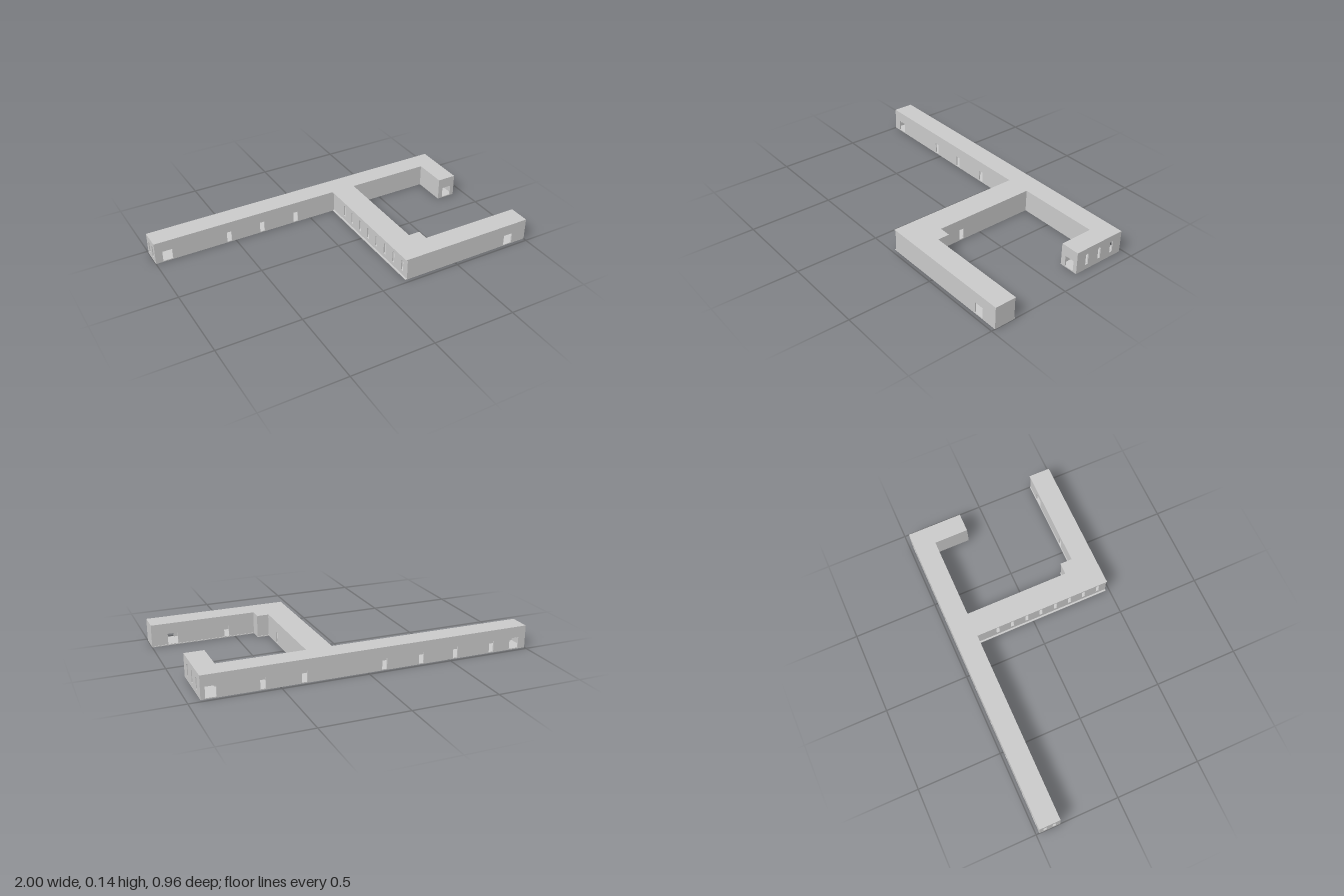
import * as THREE from 'three';

const H = 0.135, SLAB = 0.005, T = 0.008;
const material = new THREE.MeshStandardMaterial({ color: 0xcccccc, side: THREE.DoubleSide });

// Openings: { at: centre along the wall, w: width, y0, y1, arch }
const door = (at) => ({ at, w: 0.03, y0: SLAB, y1: 0.07 });
const gate = (at) => ({ at, w: 0.06, y0: SLAB, y1: 0.07 });
const archWindow = (at) => ({ at, w: 0.02, y0: 0.03, y1: 0.1, arch: true });

function openingPath({ at, w, y0, y1, arch }) {
  const r = w / 2, p = new THREE.Path();
  p.moveTo(at - r, y0);
  p.lineTo(at + r, y0);
  if (arch) {
    p.lineTo(at + r, y1 - r);
    p.absarc(at, y1 - r, r, 0, Math.PI, false);
  } else {
    p.lineTo(at + r, y1);
    p.lineTo(at - r, y1);
  }
  p.closePath();
  return p;
}

function wallGeometry(a, b, openings) {
  const s = new THREE.Shape();
  const base = SLAB - 0.001;
  s.moveTo(a, base);
  s.lineTo(b, base);
  s.lineTo(b, H - SLAB);
  s.lineTo(a, H - SLAB);
  s.closePath();
  s.holes = openings.map((o) => openingPath({ ...o, y0: Math.max(o.y0, base + 0.002) }));
  return new THREE.ExtrudeGeometry(s, { depth: T, bevelEnabled: false, curveSegments: 8 });
}

export function createModel() {
  const group = new THREE.Group();
  const add = (name, geometry) => {
    const mesh = new THREE.Mesh(geometry, material);
    mesh.name = name;
    group.add(mesh);
    return mesh;
  };

  // Wall running along x; its outer face lies at z and looks towards out (+1 / -1)
  const wallX = (name, x0, x1, z, out, openings = []) => {
    add(name, wallGeometry(x0, x1, openings)).position.z = out > 0 ? z - T : z;
  };
  // Wall running along z; its outer face lies at x
  const wallZ = (name, z0, z1, x, out, openings = []) => {
    const g = wallGeometry(z0, z1, openings).rotateY(-Math.PI / 2);
    add(name, g).position.x = out > 0 ? x : x + T;
  };

  // Floor and roof slabs share the corridor plan
  const plan = [
    [-1, -0.48], [0.93, -0.48], [0.93, -0.148], [0.815, -0.148], [0.815, -0.354],
    [0.31, -0.354], [0.31, 0.275], [0.38, 0.275], [0.38, 0.348], [1, 0.348],
    [1, 0.478], [0.16, 0.478], [0.16, -0.354], [-1, -0.354],
  ];
  const planShape = new THREE.Shape(plan.map(([x, z]) => new THREE.Vector2(x, -z)));
  const slab = () => new THREE.ExtrudeGeometry(planShape, { depth: SLAB, bevelEnabled: false })
    .rotateX(-Math.PI / 2);
  add('floor', slab());
  add('roof', slab()).position.y = H - SLAB;

  // Evenly spaced arched windows
  const windowRow = (first, count) =>
    Array.from({ length: count }, (_, i) => archWindow(first + i * 0.0925));

  // Long back wing
  wallX('backWall', -1, 0.93, -0.48, -1, [
    ...[-0.925, 0.875].map(gate),
    ...[-0.775, -0.54, -0.325, -0.1, 0.366, 0.597].map(door),
  ]);
  wallX('backWingFrontWall', -1, 0.17, -0.354, 1,
    [gate(-0.925), ...[-0.54, -0.325, -0.1].map(door)]);
  wallX('courtyardBackWall', 0.31, 0.815, -0.354, 1);
  wallZ('backWingEndWall', -0.48, -0.354, -1, -1, [-0.445, -0.39].map(archWindow));

  // Short hook
  wallZ('hookOuterWall', -0.48, -0.148, 0.93, 1, windowRow(-0.408, 3));
  wallZ('hookInnerWall', -0.354, -0.148, 0.815, -1);
  wallX('hookEndWall', 0.815, 0.93, -0.148, 1, [gate(0.875)]);

  // Connecting corridor
  wallZ('corridorWindowWall', -0.354, 0.478, 0.17, -1, windowRow(-0.223, 8));
  wallZ('corridorCourtyardWall', -0.354, 0.28, 0.31, 1, [door(0.13)]);

  // Front wing with its stepped inner corner
  wallX('stepBackWall', 0.31, 0.38, 0.28, -1);
  wallZ('stepSideWall', 0.28, 0.352, 0.38, 1);
  wallX('frontWingBackWall', 0.38, 1, 0.352, -1, [gate(0.875), door(0.55)]);
  wallX('frontWingFrontWall', 0.17, 1, 0.478, 1, [gate(0.875)]);
  wallZ('frontWingEndWall', 0.352, 0.478, 1, 1);

  return group;
}
